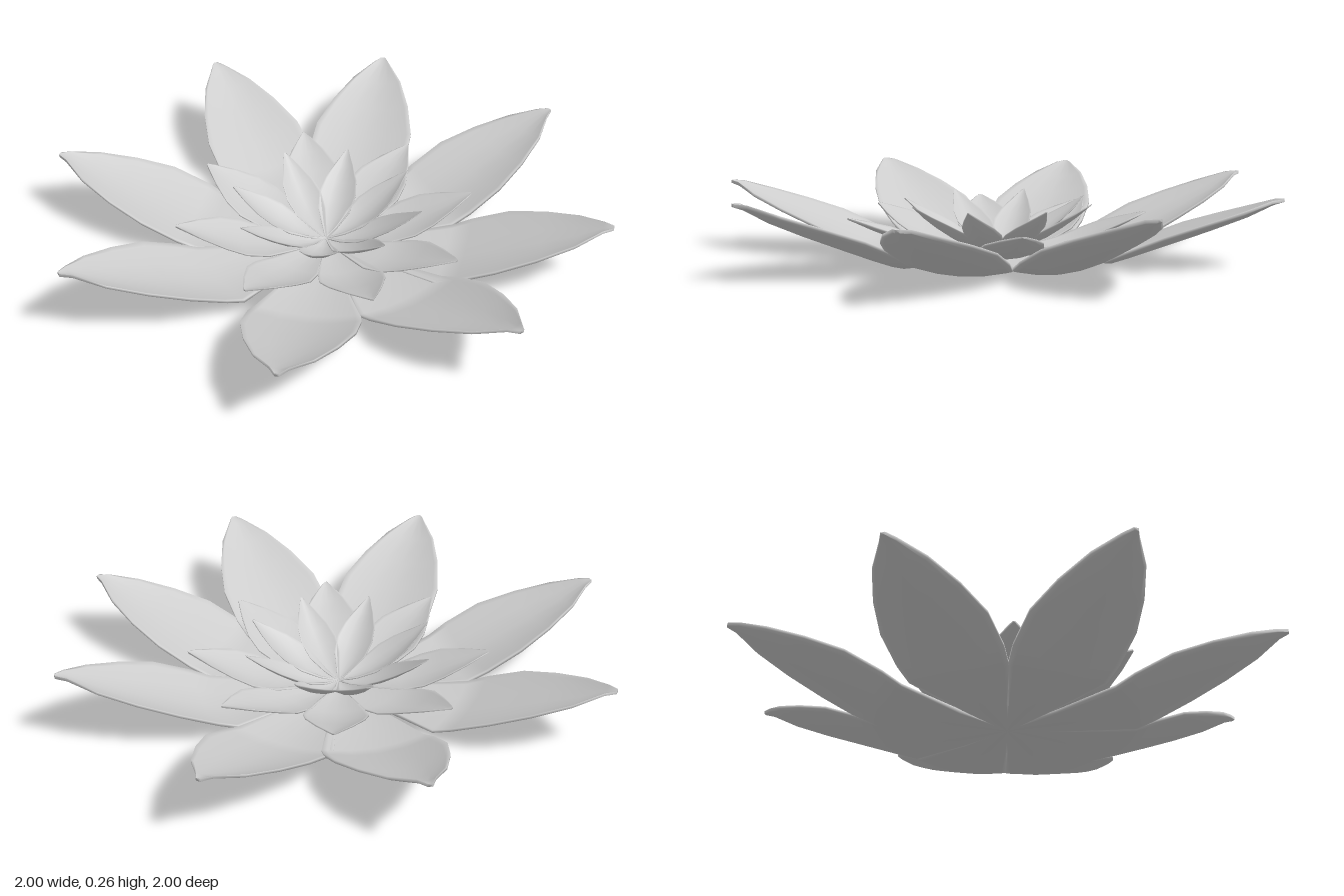
import * as THREE from 'three';

// Stations along each petal: [distance, half width, centre height, edge lift]
const OUTER = [
  [0.0, 0.006, 0.0, 0], [0.2, 0.085, 0.0, 0.008], [0.43, 0.178, 0.002, 0.025],
  [0.5, 0.19, 0.026, 0.032], [0.63, 0.188, 0.075, 0.038], [0.76, 0.15, 0.125, 0.032],
  [0.88, 0.095, 0.175, 0.022], [0.965, 0.03, 0.22, 0.008], [1.0, 0.008, 0.232, 0],
];
const MIDDLE = [
  [0.0, 0.005, 0.014, 0], [0.1, 0.045, 0.015, 0.008], [0.22, 0.095, 0.025, 0.018],
  [0.3, 0.112, 0.045, 0.025], [0.37, 0.1, 0.073, 0.025], [0.45, 0.06, 0.107, 0.016],
  [0.515, 0.018, 0.138, 0.004], [0.535, 0.004, 0.147, 0],
];
const INNER = [
  [0.0, 0.004, 0.026, 0], [0.06, 0.03, 0.03, 0.01], [0.12, 0.058, 0.045, 0.022],
  [0.18, 0.068, 0.074, 0.028], [0.235, 0.058, 0.11, 0.022], [0.29, 0.033, 0.151, 0.012],
  [0.33, 0.01, 0.186, 0.002], [0.342, 0.003, 0.196, 0],
];

// Closed, cupped shell running along +z, lofted from flat cross-section loops
function petalGeometry(stations, thickness) {
  const across = [-1, -0.9, -0.45, 0, 0.45, 0.9, 1];
  const n = across.length * 2;
  const positions = [];
  const indices = [];
  for (const [z, width, y, lift] of stations) {
    const point = (u, h) => positions.push(u * width, y + lift * u * u + h, z);
    for (const u of across) point(u, thickness);
    for (const u of across) point(-u, 0);
  }
  for (let i = 0; i < stations.length - 1; i++) {
    for (let j = 0; j < n; j++) {
      const k = (j + 1) % n;
      const a = i * n + j, b = i * n + k;
      indices.push(a, a + n, b, b, a + n, b + n);
    }
  }
  // End caps
  const last = (stations.length - 1) * n;
  for (let j = 1; j < n - 1; j++) {
    indices.push(0, j, j + 1);
    indices.push(last, last + j + 1, last + j);
  }
  const geometry = new THREE.BufferGeometry();
  geometry.setAttribute('position', new THREE.Float32BufferAttribute(positions, 3));
  geometry.setIndex(indices);
  geometry.computeVertexNormals();
  return geometry;
}

// Ring of petals, each turned towards its tip [x, z, height scale]
function petalRing(name, geometry, material, tips) {
  const ring = new THREE.Group();
  ring.name = name + 's';
  for (const [x, z, rise = 1] of tips) {
    const petal = new THREE.Mesh(geometry, material);
    petal.name = name;
    petal.rotation.y = Math.atan2(x, z);
    petal.scale.y = rise;
    ring.add(petal);
  }
  return ring;
}

export function createModel() {
  const model = new THREE.Group();
  model.name = 'waterLily';
  const petalGrey = new THREE.MeshStandardMaterial({ color: 0xcccccc });
  petalGrey.name = 'petal grey';

  model.add(petalRing('outerPetal', petalGeometry(OUTER, 0.01), petalGrey, [
    [0, -1], [0.71, -0.71, 1.08], [1, 0], [0.765, 0.644, 1.08],
    [0.09, 0.99, 1.03], [-0.71, 0.7, 1.08], [-1, 0], [-0.644, -0.765, 1.08],
  ]));
  model.add(petalRing('middlePetal', petalGeometry(MIDDLE, 0.006), petalGrey, [
    [-0.21, -0.5], [0.2, -0.5], [0.49, -0.23], [0.5, 0.19],
    [0.27, 0.47], [-0.15, 0.51], [-0.49, 0.22], [-0.5, -0.19],
  ]));
  model.add(petalRing('innerPetal', petalGeometry(INNER, 0.004), petalGrey, [
    [0, -0.34], [0.24, -0.24], [0.34, 0], [0.26, 0.23],
    [0.03, 0.34], [-0.24, 0.24], [-0.34, 0], [-0.22, -0.26],
  ]));
  return model;
}
